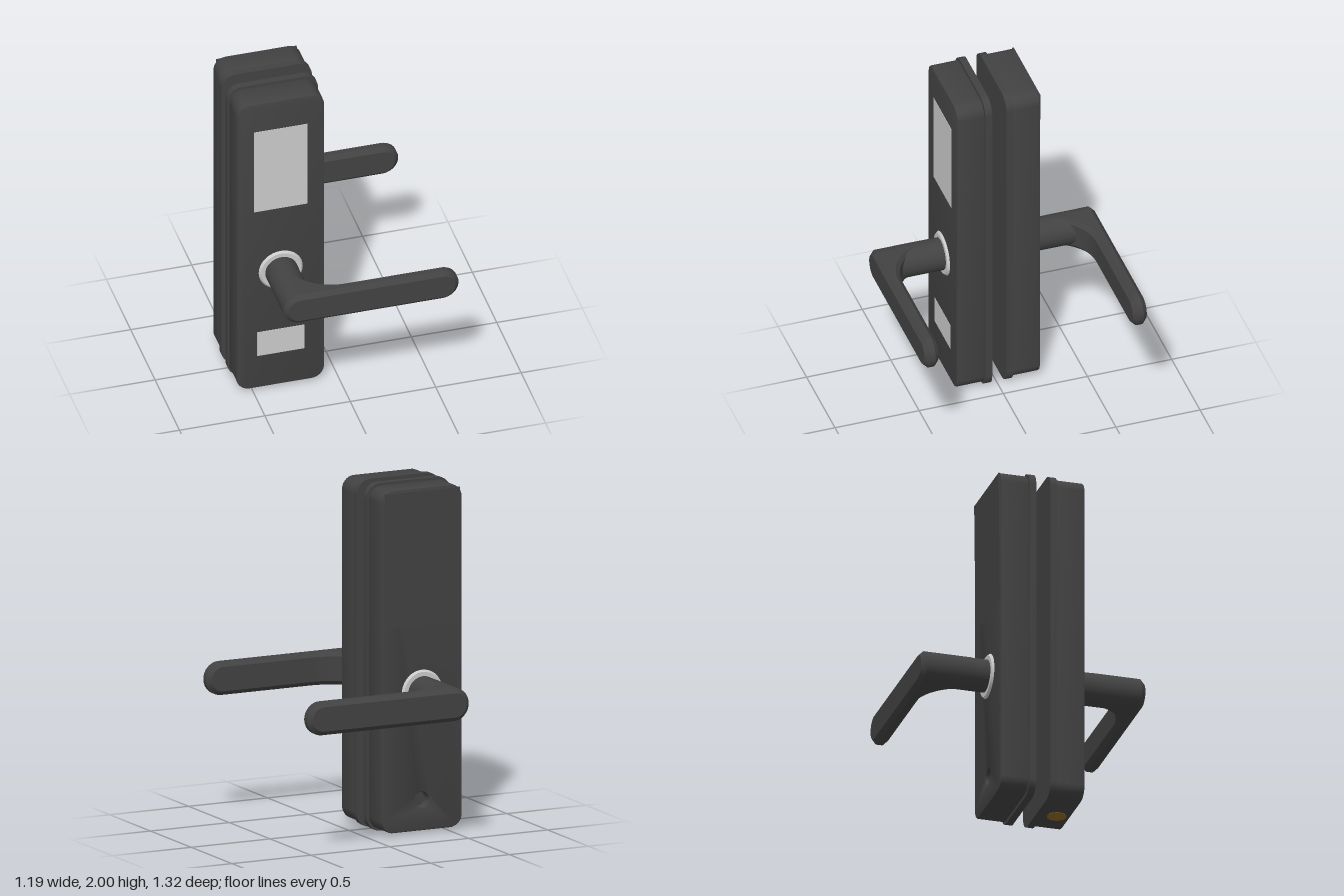
import * as THREE from 'three';
import { toCreasedNormals } from 'three/addons/utils/BufferGeometryUtils.js';

const dark = new THREE.MeshStandardMaterial({ color: 0x424242 });
const grey = new THREE.MeshStandardMaterial({ color: 0xcccccc });
const brass = new THREE.MeshStandardMaterial({ color: 0x8f6a22 });

const CX = -0.335; // axis of plates and spindles
const HANDLE_Y = 0.81;

function add(parent, name, geometry, material, x = 0, y = 0, z = 0) {
  const mesh = new THREE.Mesh(geometry, material);
  mesh.name = name;
  mesh.position.set(x, y, z);
  parent.add(mesh);
  return mesh;
}

// Upright plate with rounded corners and a small bevel, starting at z = 0
function plate(w, h, r, depth, bevel, hole) {
  const x = w / 2 - bevel, y = h / 2 - bevel, q = r - bevel;
  const s = new THREE.Shape();
  s.absarc(x - q, y - q, q, 0, Math.PI / 2);
  s.absarc(-x + q, y - q, q, Math.PI / 2, Math.PI);
  s.absarc(-x + q, -y + q, q, Math.PI, Math.PI * 1.5);
  s.absarc(x - q, -y + q, q, Math.PI * 1.5, Math.PI * 2);
  if (hole) {
    const p = new THREE.Path();
    p.absarc(0, hole.y, hole.r + bevel, 0, Math.PI * 2, true);
    s.holes.push(p);
  }
  const g = new THREE.ExtrudeGeometry(s, {
    depth: depth - 2 * bevel, curveSegments: 12,
    bevelEnabled: bevel > 0, bevelSize: bevel, bevelThickness: bevel, bevelSegments: 2,
  });
  g.translate(0, 0, bevel);
  return toCreasedNormals(g, 0.5);
}

// Chamfered lever with round ends, its underside sweeping down into the spindle
function leverGeometry() {
  const r = 0.095, c = 0.025, top = 0.66, flat = 0.577, low = 0.33;
  const x0 = CX, x1 = 0.5, fx = -0.06;
  const stations = []; // x centre, cos, sin, underside height
  const N = 14;
  for (let i = 0; i <= N; i++) {
    const a = (i / N) * Math.PI / 2;
    stations.push([x1, Math.cos(a), Math.sin(a), flat]);
  }
  for (let i = 0; i <= 20; i++) {
    const a = (i / 20) * Math.PI / 2;
    stations.push([fx - (fx - x0) * Math.sin(a), 0, 1, low + (flat - low) * Math.cos(a)]);
  }
  for (let i = 1; i <= N; i++) {
    const a = (i / N) * Math.PI / 2;
    stations.push([x0, -Math.sin(a), Math.cos(a), low]);
  }
  const pos = [], index = [];
  for (const [x, cos, sin, b] of stations) {
    const half = [[r - c, b], [r, b + c], [r, top - c], [r - c, top]];
    for (const [q, z] of half) pos.push(x + q * cos, q * sin, z);
    for (const [q, z] of half.reverse()) pos.push(x + q * cos, -q * sin, z);
  }
  for (let i = 0; i < stations.length - 1; i++) {
    for (let j = 0; j < 8; j++) {
      const k = (j + 1) % 8;
      const a = i * 8 + j, b = i * 8 + k, d = a + 8, e = b + 8;
      index.push(a, d, b, b, d, e);
    }
  }
  const g = new THREE.BufferGeometry();
  g.setAttribute('position', new THREE.Float32BufferAttribute(pos, 3));
  g.setIndex(index);
  return toCreasedNormals(g, 0.45);
}

// Rosette, spindle and lever, pointing towards +z
function handle(name) {
  const g = new THREE.Group();
  g.name = name;
  const rosette = new THREE.CylinderGeometry(0.118, 0.135, 0.02, 48).rotateX(Math.PI / 2);
  add(g, 'rosette', rosette, grey, CX, 0, 0.25);
  const spindle = new THREE.CylinderGeometry(0.094, 0.094, 0.39, 48).rotateX(Math.PI / 2);
  add(g, 'spindle', spindle, dark, CX, 0, 0.44);
  add(g, 'lever', leverGeometry(), dark);
  g.position.y = HANDLE_Y;
  return g;
}

// Gasket and housing, facing +z
function housing(name, hole) {
  const g = new THREE.Group();
  g.name = name;
  add(g, 'gasket', plate(0.53, 2, 0.085, 0.041, 0), dark, CX, 1, 0.042);
  add(g, 'body', plate(0.51, 1.972, 0.075, 0.164, 0.008, hole), dark, CX, 1, 0.083);
  return g;
}

export function createModel() {
  const model = new THREE.Group();
  model.name = 'doorLock';

  // Outer side with screen, lower reader and keyhole cover underneath
  const front = housing('frontUnit');
  add(front, 'screen', new THREE.BoxGeometry(0.315, 0.555, 0.004), grey, CX, 1.516, 0.2465);
  add(front, 'lowerPanel', new THREE.BoxGeometry(0.275, 0.165, 0.004), grey, CX, 0.317, 0.2465);
  add(front, 'keyholeCover', new THREE.CylinderGeometry(0.055, 0.055, 0.004, 32), brass, -0.3, 0.0135, 0.17);
  front.add(handle('frontHandle'));
  model.add(front);

  // Inner side, turned half round about the plate axis
  const back = new THREE.Group();
  back.name = 'backUnit';
  const shell = housing('backHousing', { y: -0.81, r: 0.045 });
  shell.rotation.y = Math.PI;
  shell.position.x = 2 * CX;
  back.add(shell);
  add(back, 'recessFloor', new THREE.CylinderGeometry(0.06, 0.06, 0.01, 32).rotateX(Math.PI / 2), dark, CX, 0.19, -0.18);

  // Battery cover rising gently towards the top
  const wedge = new THREE.Shape([
    new THREE.Vector2(0.244, 1.19), new THREE.Vector2(0.247, 1.19),
    new THREE.Vector2(0.255, 1.97), new THREE.Vector2(0.244, 1.97),
  ]);
  const cover = new THREE.ExtrudeGeometry(wedge, { depth: 0.47, bevelEnabled: false });
  cover.rotateY(Math.PI / 2).translate(CX - 0.235, 0, 0);
  add(back, 'batteryCover', cover, dark);

  const backHandle = handle('backHandle');
  backHandle.rotation.x = Math.PI;
  back.add(backHandle);
  model.add(back);
  return model;
}
